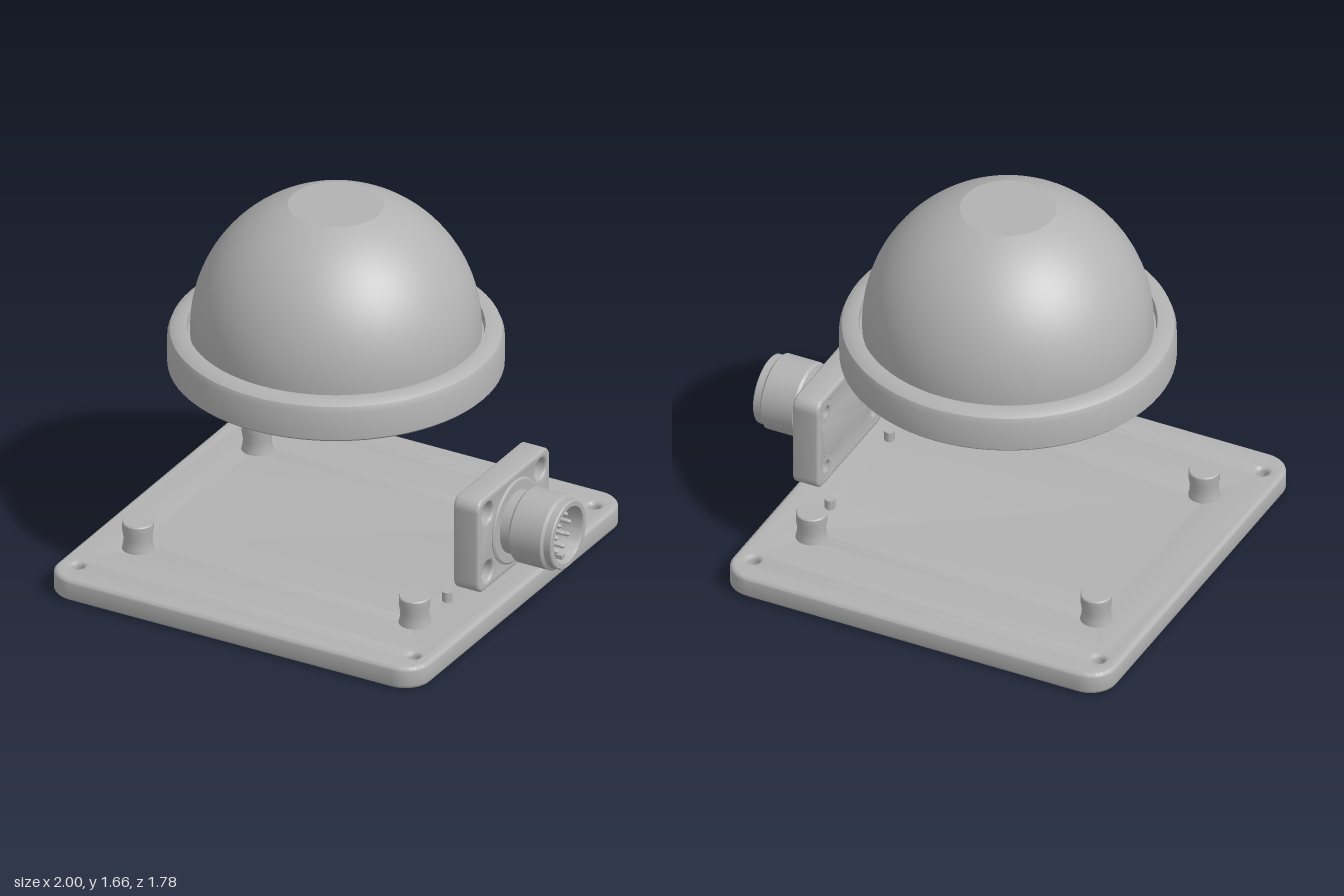
import * as THREE from 'three';
import { toCreasedNormals } from 'three/addons/utils/BufferGeometryUtils.js';

const grey = new THREE.MeshStandardMaterial({ color: 0xb2b2b2 });
grey.name = 'satin grey';

function part(name, geometry, x = 0, y = 0, z = 0, crease = 0.6) {
  const mesh = new THREE.Mesh(toCreasedNormals(geometry, crease), grey);
  mesh.name = name;
  mesh.position.set(x, y, z);
  return mesh;
}

// Surface of revolution from [radius, height] pairs, bottom to top
function turned(profile, segments) {
  return new THREE.LatheGeometry(profile.map(([r, h]) => new THREE.Vector2(r, h)), segments);
}

// Rounded rectangle slab with round holes [x, y, radius] and softened edges
function slab(w, h, radius, depth, bevel, holes) {
  const a = w / 2, b = h / 2;
  const shape = new THREE.Shape();
  shape.absarc(a - radius, b - radius, radius, 0, Math.PI / 2);
  shape.absarc(radius - a, b - radius, radius, Math.PI / 2, Math.PI);
  shape.absarc(radius - a, radius - b, radius, Math.PI, Math.PI * 1.5);
  shape.absarc(a - radius, radius - b, radius, Math.PI * 1.5, Math.PI * 2);
  shape.closePath();
  for (const [x, y, r] of holes) {
    shape.holes.push(new THREE.Path().absarc(x, y, r, 0, Math.PI * 2, true));
  }
  const geometry = new THREE.ExtrudeGeometry(shape, {
    depth: depth - 2 * bevel, bevelThickness: bevel, bevelSize: bevel,
    bevelOffset: -bevel, bevelSegments: 3, curveSegments: 10,
  });
  return geometry.translate(0, 0, bevel);
}

function createBase() {
  const base = new THREE.Group();
  base.name = 'base';
  const cx = -0.11;
  const holes = [];
  for (const sx of [-1, 1]) {
    for (const sz of [-1, 1]) {
      holes.push([sx * 0.8, sz * 0.757, 0.025], [sx * 0.66, sz * 0.5, 0.018]);
      // Mounting post with a slight waist
      base.add(part('mountingPost', turned([
        [0, 0], [0.072, 0], [0.063, 0.04], [0.06, 0.07], [0.066, 0.11], [0.066, 0.14], [0.062, 0.145], [0, 0.145],
      ], 20), cx + sx * 0.66, 0.08, sz * 0.5));
    }
  }
  const plate = slab(1.78, 1.78, 0.12, 0.1, 0.018, holes).rotateX(-Math.PI / 2);
  base.add(part('basePlate', plate, cx));
  for (const z of [-0.28, 0.27]) {
    base.add(part('locatingPin', new THREE.CylinderGeometry(0.022, 0.022, 0.06, 12), 0.575, 0.115, z));
  }
  return base;
}

function createDome() {
  const dome = new THREE.Group();
  dome.name = 'domeAssembly';
  // Collar with closed underside and a fine groove around the dome
  dome.add(part('domeCollar', turned([
    [0, 0], [0.69, 0], [0.7, 0.01], [0.7, 0.135], [0.69, 0.16], [0.66, 0.178], [0.62, 0.178], [0.615, 0.14], [0.59, 0.14],
  ], 72), -0.11, 0.912, 0));
  // Spherical shell cut flat at the top
  const profile = [[0.605, -0.04]];
  const end = Math.acos(0.2 / 0.605);
  for (let i = 0; i <= 24; i++) {
    const t = end * i / 24;
    profile.push([0.605 * Math.cos(t), 0.605 * Math.sin(t)]);
  }
  profile.push([0, 0.605 * Math.sin(end)]);
  dome.add(part('domeShell', turned(profile, 72), -0.11, 1.085, 0, 0.25));
  return dome;
}

function createConnector() {
  const connector = new THREE.Group();
  connector.name = 'connector';
  connector.position.set(0.62, 0.395, 0);
  const turnedX = (profile, n) => turned(profile, n).rotateZ(-Math.PI / 2);

  // Flange with four counterbored screw holes
  const holes = [];
  for (const sz of [-1, 1]) {
    for (const sy of [-1, 1]) {
      holes.push([sz * 0.222, sy * 0.137, 0.046]);
      connector.add(part('screwSeat', turnedX([
        [0.03, 0.001], [0.06, 0.001], [0.06, 0.05], [0.03, 0.05], [0.03, 0.001],
      ].map(([r, h]) => [r, h]), 16), 0, sy * 0.137, sz * 0.222));
    }
  }
  connector.add(part('flange', slab(0.604, 0.434, 0.05, 0.12, 0.012, holes).rotateY(Math.PI / 2)));

  // Shouldered barrel with an open socket
  connector.add(part('barrel', turnedX([
    [0, 0.11], [0.188, 0.11], [0.188, 0.124], [0.18, 0.13], [0.138, 0.13], [0.138, 0.175],
    [0.155, 0.18], [0.163, 0.19], [0.163, 0.335], [0.15, 0.345], [0.15, 0.375], [0.145, 0.38],
    [0.125, 0.38], [0.12, 0.37], [0.12, 0.22], [0, 0.22],
  ], 40)));

  // Contact pins: outer ring of nine, inner ring of three
  for (const [count, radius] of [[9, 0.082], [3, 0.03]]) {
    for (let i = 0; i < count; i++) {
      const a = Math.PI / 2 + i * Math.PI * 2 / count;
      connector.add(part('contactPin', turnedX([
        [0.01, 0.21], [0.01, 0.335], [0.005, 0.345], [0, 0.345],
      ], 10), 0, radius * Math.sin(a), radius * Math.cos(a)));
    }
  }
  // Keying rib at the bottom of the socket
  connector.add(part('keyRib', new THREE.BoxGeometry(0.14, 0.025, 0.026), 0.285, -0.112, 0));
  return connector;
}

export function createModel() {
  const model = new THREE.Group();
  model.name = 'domeSensor';
  model.add(createBase(), createDome(), createConnector());
  return model;
}
